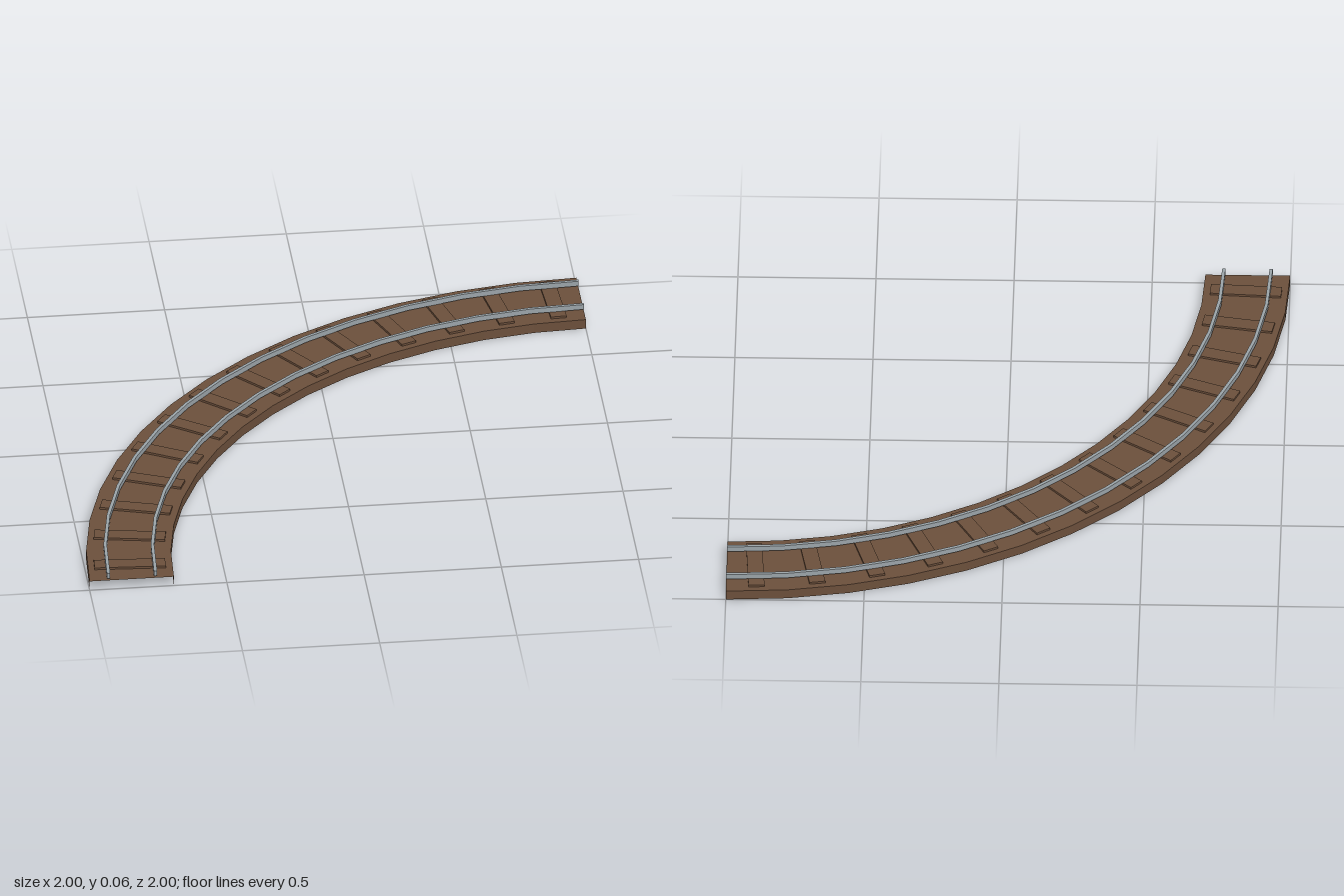
import * as THREE from 'three';

const SEGMENTS = 14;
const STEP = Math.PI / 2 / SEGMENTS;

// Point on the quarter turn, whose centre is the corner (1, 1)
const onCurve = (r, y, a) => [1 - r * Math.sin(a), y, 1 - r * Math.cos(a)];

// Sweep a counter-clockwise profile of [radius, height] points round the quarter turn
function sweep(profile, closed) {
  const pos = [];
  const quad = (a, b, c, d) => pos.push(...a, ...b, ...c, ...a, ...c, ...d);
  const n = profile.length;
  for (let i = 0; i < SEGMENTS; i++) {
    const a0 = i * STEP, a1 = a0 + STEP;
    for (let j = 0; j < (closed ? n : n - 1); j++) {
      const p = profile[j], q = profile[(j + 1) % n];
      quad(onCurve(...p, a0), onCurve(...p, a1), onCurve(...q, a1), onCurve(...q, a0));
    }
  }
  // End caps of solid four-sided profiles
  if (closed) {
    quad(...profile.map((p) => onCurve(...p, 0)));
    quad(...profile.map((p) => onCurve(...p, Math.PI / 2)).reverse());
  }
  const geo = new THREE.BufferGeometry();
  geo.setAttribute('position', new THREE.Float32BufferAttribute(pos, 3));
  geo.computeVertexNormals();
  return geo;
}

export function createModel() {
  const group = new THREE.Group();
  const wood = new THREE.MeshStandardMaterial({ color: 0x6b4f3b, side: THREE.DoubleSide });
  wood.name = 'brown wood';
  const steel = new THREE.MeshStandardMaterial({ color: 0x9aa3a8 });
  steel.name = 'grey steel';

  const add = (name, geo, mat) => {
    const mesh = new THREE.Mesh(geo, mat);
    mesh.name = name;
    group.add(mesh);
    return mesh;
  };

  // Track bed: a thin deck with side skirts, open at the ends and underneath
  add('trackBed', sweep([[2, 0], [2, 0.037], [1.693, 0.037], [1.693, 0]], false), wood);

  // Sleepers: one in the middle of each segment, lying along the radius
  const sleeperGeo = new THREE.BoxGeometry(0.058, 0.013, 0.258);
  for (let i = 0; i < SEGMENTS; i++) {
    const a = (i + 0.5) * STEP;
    const sleeper = add('sleeper' + (i + 1), sleeperGeo, wood);
    sleeper.position.set(...onCurve(1.845, 0.0385, a));
    sleeper.rotation.y = a;
  }

  // Rails resting on the sleepers
  const rail = (r) => {
    const w = 0.006;
    return sweep([[r - w, 0.045], [r + w, 0.045], [r + w, 0.065], [r - w, 0.065]], true);
  };
  add('outerRail', rail(1.931), steel);
  add('innerRail', rail(1.76), steel);

  return group;
}
